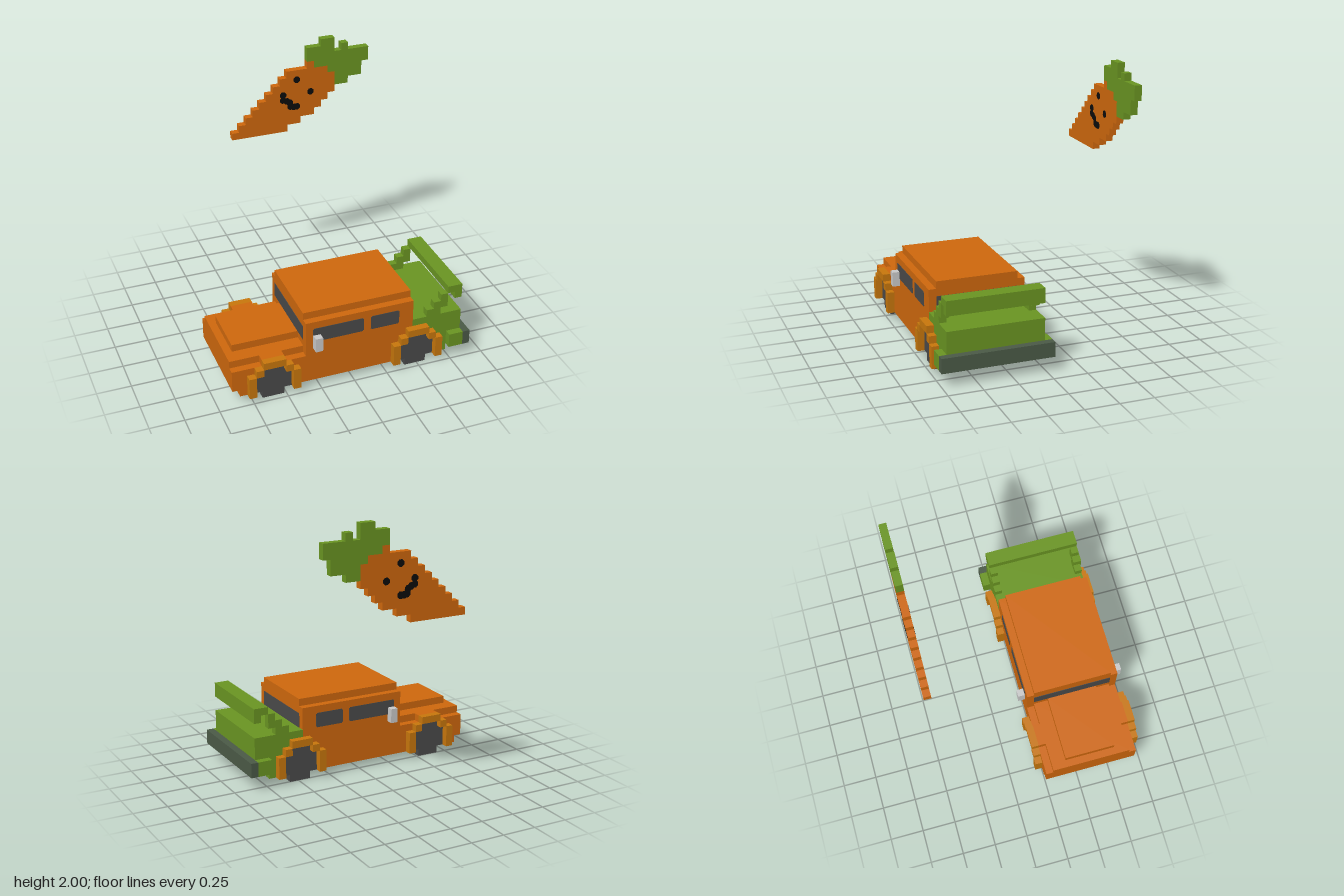
import * as THREE from 'three';

const U = 2 / 37; // one block

const mat = (name, color) => {
  const m = new THREE.MeshStandardMaterial({ color });
  m.name = name;
  return m;
};

export function createModel() {
  const orange = mat('orange', 0xcf680d);
  const amber = mat('amber', 0xc8770c);
  const green = mat('leafGreen', 0x6a9522);
  const slate = mat('greenGrey', 0x4b5a47);
  const dark = mat('darkGrey', 0x4a4a4a);
  const light = mat('lightGrey', 0xcacaca);
  const black = mat('black', 0x0c0c0c);

  const model = new THREE.Group();
  model.name = 'carrotTruck';
  const group = (name) => {
    const g = new THREE.Group();
    g.name = name;
    model.add(g);
    return g;
  };

  // Block spanning grid coordinates, x 0..33, y 0..37, z 0..28
  const box = (parent, name, m, x0, x1, y0, y1, z0, z1) => {
    const mesh = new THREE.Mesh(new THREE.BoxGeometry((x1 - x0) * U, (y1 - y0) * U, (z1 - z0) * U), m);
    mesh.position.set(((x0 + x1) / 2 - 16.5) * U, ((y0 + y1) / 2) * U, ((z0 + z1) / 2 - 14) * U);
    mesh.name = name;
    parent.add(mesh);
  };
  // The same block on both flanks of the truck, mirrored about z = 20.5
  const pair = (parent, name, m, x0, x1, y0, y1, z0, z1) => {
    box(parent, name, m, x0, x1, y0, y1, z0, z1);
    box(parent, name, m, x0, x1, y0, y1, 41 - z1, 41 - z0);
  };

  // Body, hood and cabin
  const body = group('body');
  box(body, 'noseBody', orange, 0, 10, 2, 5, 14, 27);
  box(body, 'hood', orange, 0, 10, 5, 6, 15, 26);
  box(body, 'hoodPlate', orange, 1, 10, 6, 7, 17, 24);
  box(body, 'fenderBridge', orange, 4, 7, 5, 6, 14, 27);
  box(body, 'cabin', orange, 10, 25, 2, 10, 14, 27);
  box(body, 'roof', orange, 10, 25, 10, 11, 15, 26);
  box(body, 'frontSill', orange, 1, 2, 1, 2, 14, 27);
  box(body, 'sideSill', orange, 2, 29, 1, 2, 14, 15);
  box(body, 'sideSill', orange, 2, 29, 1, 2, 25, 27);
  box(body, 'floor', light, 2, 29, 1, 2, 15, 25);

  // Windows as thin plates
  const t = 0.06;
  const windows = group('windows');
  const sideWindow = (x0, x1) => {
    pair(windows, 'sideWindow', dark, x0 + 0.12, x1 - 0.12, 7, 9, 14 - t, 14);
    pair(windows, 'sideWindowEdge', dark, x0, x1, 7.12, 8.88, 14 - t * 0.8, 14);
  };
  sideWindow(11, 18);
  sideWindow(19, 23);
  box(windows, 'windshield', dark, 10 - t, 10, 7, 9, 15, 26);
  box(windows, 'rearWindow', dark, 25, 25 + t, 7, 9, 15, 26);
  pair(group('mirrors'), 'mirror', light, 11, 12, 6, 8, 13, 14);

  // Wheels with stepped fenders
  for (const [name, x] of [['frontWheel', 2], ['rearWheel', 22]]) {
    const g = group(name);
    pair(g, 'tyreMiddle', dark, x + 1, x + 6, 1, 4, 14 - t, 15);
    pair(g, 'tyreBottom', dark, x + 2, x + 5, 0, 1, 14 - t, 15);
    pair(g, 'tyreTop', dark, x + 2, x + 5, 4, 5, 14 - t, 15);
    pair(g, 'fenderTop', amber, x + 2, x + 5, 5, 6, 13, 14);
    for (const [leg, shoulder] of [[0, 1], [6, 5]]) {
      pair(g, 'fenderLeg', amber, x + leg, x + leg + 1, 1, 4, 13, 14);
      pair(g, 'fenderShoulder', amber, x + shoulder, x + shoulder + 1, 4, 5, 13, 14);
    }
  }

  // Green tail with bumper
  const tail = group('tail');
  box(tail, 'bed', green, 25, 32, 2, 7, 14, 27);
  pair(tail, 'lowerCorner', green, 29, 30, 1, 2, 14, 15);
  pair(tail, 'bumperBracket', green, 30, 32, 2, 4, 13, 14);
  box(tail, 'bumper', slate, 32, 33, 2, 4, 13, 28);

  // Spoiler on stepped arms
  pair(tail, 'spoilerArm', green, 27, 28, 7, 8, 14, 15);
  pair(tail, 'spoilerArm', green, 28, 29, 7, 9, 14, 15);
  pair(tail, 'spoilerArm', green, 29, 30, 8, 10, 14, 15);
  box(tail, 'spoiler', green, 30, 32, 10, 11, 14, 27);
  box(tail, 'spoilerLip', green, 31, 32, 9, 10, 14, 27);

  // Floating carrot, one row of blocks at a time: [y, x start, x end]
  const carrot = group('carrot');
  const root = [[24, 9, 17], [25, 10, 19], [26, 11, 21], [27, 12, 22], [28, 13, 23],
    [29, 14, 24], [30, 15, 24], [31, 16, 24], [32, 17, 23], [33, 20, 21]];
  const leaves = [[30, 24, 26], [31, 24, 28], [32, 23, 28], [33, 21, 29], [34, 20, 29],
    [35, 20, 24], [35, 25, 26], [36, 22, 24]];
  for (const [y, a, b] of root) box(carrot, 'carrotRoot', orange, a, b, y, y + 1, 0, 1);
  for (const [y, a, b] of leaves) box(carrot, 'carrotLeaves', green, a, b, y, y + 1, 0, 1);

  // Face of round dots showing on both sides
  const dotGeo = new THREE.CylinderGeometry(0.5 * U, 0.5 * U, 1.1 * U, 8);
  dotGeo.rotateY(Math.PI / 8).rotateX(Math.PI / 2);
  const dots = (name, list) => {
    for (const [x, y] of list) {
      const dot = new THREE.Mesh(dotGeo, black);
      dot.position.set((x - 16.5) * U, y * U, -13.5 * U);
      dot.name = name;
      carrot.add(dot);
    }
  };
  dots('eye', [[18.45, 31.6], [20.45, 29.55]]);
  dots('mouth', [[16.45, 29.55], [16.45, 28.8], [16.95, 28.6], [17.4, 28.3], [17.55, 27.7], [18, 27.6], [18.45, 27.6]]);

  return model;
}
